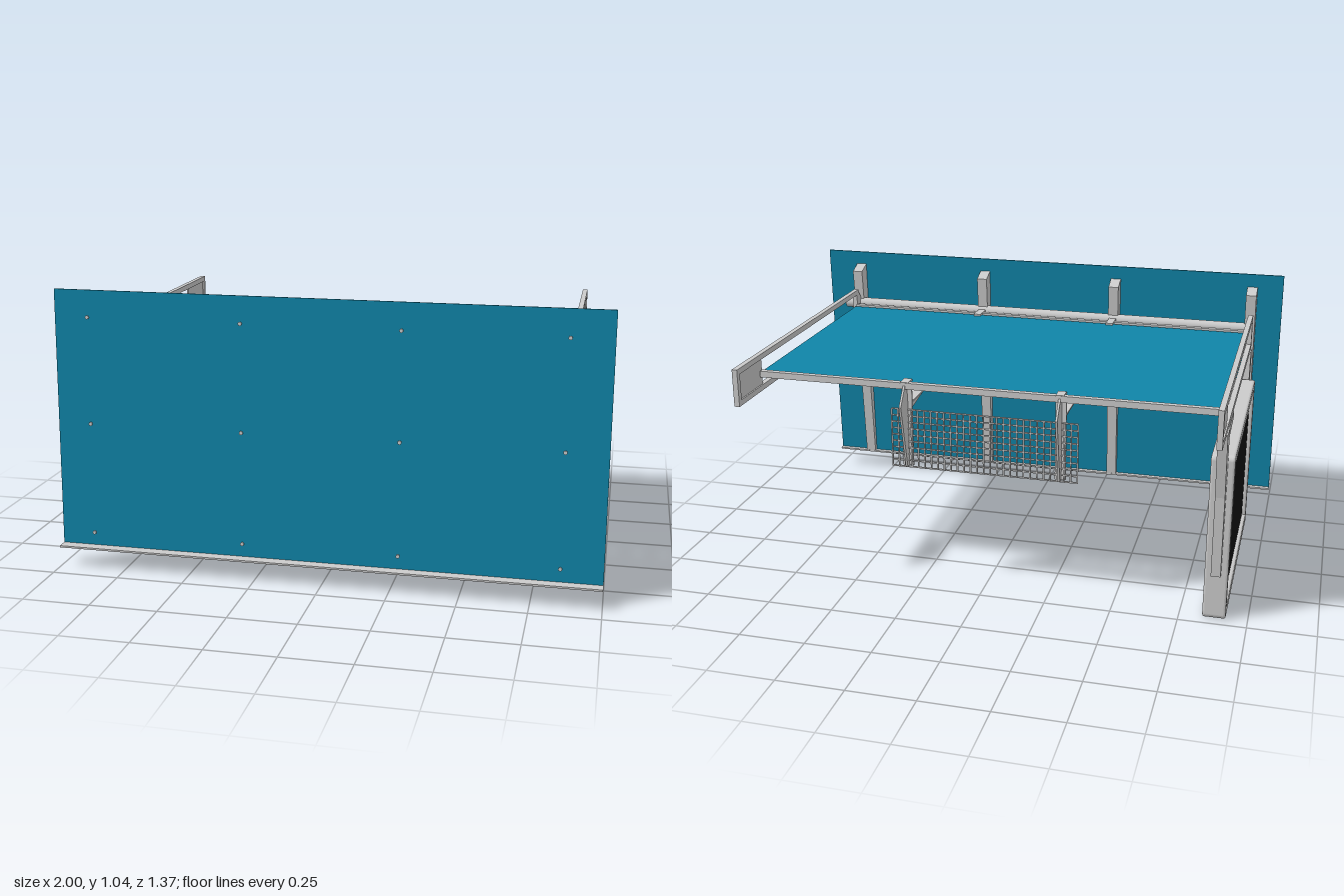
import * as THREE from 'three';

const grey = new THREE.MeshStandardMaterial({ color: 0xcccccc });
const teal = new THREE.MeshStandardMaterial({ color: 0x1085a8 });
const black = new THREE.MeshStandardMaterial({ color: 0x111111 });

const supportX = [-0.875, -0.3, 0.277, 0.85];
const sideX = [-0.88, 0.85];

function add(parent, name, geometry, material = grey) {
  const mesh = new THREE.Mesh(geometry, material);
  mesh.name = name;
  parent.add(mesh);
  return mesh;
}

// Box given by its limits on each axis
function box(parent, name, [x0, x1], [y0, y1], [z0, z1], material) {
  const mesh = add(parent, name, new THREE.BoxGeometry(x1 - x0, y1 - y0, z1 - z0), material);
  mesh.position.set((x0 + x1) / 2, (y0 + y1) / 2, (z0 + z1) / 2);
  return mesh;
}

// Plate with a (z, y) outline, centred on x
function plate(parent, name, outline, x, width, holes = []) {
  const toPoints = (list) => list.map(([z, y]) => new THREE.Vector2(z, y));
  const shape = new THREE.Shape(toPoints(outline));
  for (const hole of holes) shape.holes.push(new THREE.Path(toPoints(hole)));
  const geometry = new THREE.ExtrudeGeometry(shape, { depth: width, bevelEnabled: false });
  geometry.translate(0, 0, -width / 2).rotateY(-Math.PI / 2);
  const mesh = add(parent, name, geometry);
  mesh.position.x = x;
  return mesh;
}

const rect = (z0, z1, y0, y1) => [[z0, y0], [z1, y0], [z1, y1], [z0, y1]];

// Leaning front board with bolt heads, bottom ledge and tapered struts
function frontBoard() {
  const group = new THREE.Group();
  group.name = 'frontBoard';
  const leaning = new THREE.Group();
  leaning.name = 'leaningPanel';
  leaning.position.set(0, 0.558, 0.621);
  leaning.rotation.x = -0.045;
  group.add(leaning);
  add(leaning, 'frontPanel', new THREE.BoxGeometry(2, 0.963, 0.006), teal);
  for (const x of supportX) {
    for (const y of [0.382, -0.013, -0.43]) {
      const bolt = add(leaning, 'bolt', new THREE.CylinderGeometry(0.007, 0.007, 0.012, 12));
      bolt.rotation.x = Math.PI / 2;
      bolt.position.set(x, y, 0.002);
    }
    plate(group, 'strut', [[0.641, 0.08], [0.6, 0.985], [0.541, 0.962], [0.621, 0.08]], x, 0.042);
  }
  box(group, 'bottomLedge', [-1, 1], [0.074, 0.081], [0.62, 0.685]);
  return group;
}

// Rectangular side frame with rear infill plate and a nose holding the tube
function sideFrame(x) {
  const group = new THREE.Group();
  group.name = 'sideFrame';
  plate(group, 'frameBars', rect(-0.687, 0.518, 0.746, 0.886), x, 0.02, [rect(-0.666, 0.498, 0.767, 0.865)]);
  plate(group, 'rearInfill', rect(-0.67, -0.475, 0.76, 0.87), x, 0.008);
  plate(group, 'tubeBracket', [[0.518, 0.75], [0.56, 0.8], [0.56, 0.832], [0.518, 0.882]], x, 0.016);
  return group;
}

// Horizontal panel, its end rails and the clips
function roof() {
  const group = new THREE.Group();
  group.name = 'roof';
  box(group, 'roofPanel', [-0.87, 0.842], [0.812, 0.818], [-0.482, 0.482], teal);
  for (const z of [-0.49, 0.502]) {
    box(group, 'endRail', [-0.872, 0.842], [0.8, 0.824], [z - 0.011, z + 0.011]);
  }
  for (const x of supportX.slice(1, 3)) {
    box(group, 'rearClip', [x - 0.015, x + 0.015], [0.806, 0.826], [-0.5, -0.45]);
    box(group, 'frontClip', [x - 0.015, x + 0.015], [0.806, 0.826], [0.462, 0.545]);
  }
  return group;
}

// Wire mesh hung from two gusseted brackets
function meshTray() {
  const group = new THREE.Group();
  group.name = 'meshTray';
  for (const x of supportX.slice(1, 3)) {
    plate(group, 'meshBracket', [[-0.292, 0.746], [-0.292, 0.726], [-0.468, 0.7], [-0.468, 0.495],
      [-0.495, 0.495], [-0.553, 0.746], [-0.5, 0.815], [-0.478, 0.815], [-0.478, 0.746]], x, 0.008);
    box(group, 'bracketFlange', [x - 0.02, x + 0.02], [0.495, 0.8], [-0.474, -0.468]);
    box(group, 'armFlange', [x - 0.02, x + 0.02], [0.742, 0.748], [-0.47, -0.292]);
  }
  const columns = 28, rows = 9, x0 = -0.365, x1 = 0.335, y0 = 0.49, y1 = 0.715;
  for (let i = 0; i <= columns; i++) {
    const x = x0 + (x1 - x0) * i / columns;
    box(group, 'uprightWire', [x - 0.0025, x + 0.0025], [y0, y1], [-0.484, -0.479]);
  }
  for (let i = 0; i <= rows; i++) {
    const y = y0 + (y1 - y0) * i / rows;
    box(group, 'crossWire', [x0, x1], [y - 0.0025, y + 0.0025], [-0.48, -0.475]);
  }
  return group;
}

// Two-sided display with rounded casing, hung between two tapered posts
function display() {
  const group = new THREE.Group();
  group.name = 'display';
  const z0 = -0.458, z1 = 0.426, y0 = 0.008, y1 = 0.632, r = 0.012;
  const shape = new THREE.Shape();
  shape.moveTo(z0 + r, y0).lineTo(z1 - r, y0);
  shape.absarc(z1 - r, y0 + r, r, -Math.PI / 2, 0);
  shape.absarc(z1 - r, y1 - r, r, 0, Math.PI / 2);
  shape.absarc(z0 + r, y1 - r, r, Math.PI / 2, Math.PI);
  shape.absarc(z0 + r, y0 + r, r, Math.PI, Math.PI * 1.5);
  const opening = rect(-0.437, 0.405, 0.037, 0.609).map(([z, y]) => new THREE.Vector2(z, y));
  shape.holes.push(new THREE.Path(opening));
  const geometry = new THREE.ExtrudeGeometry(shape, {
    depth: 0.069, bevelSize: 0.008, bevelThickness: 0.008, bevelSegments: 3, curveSegments: 5,
  });
  geometry.translate(0, 0, -0.0345).rotateY(-Math.PI / 2);
  add(group, 'casing', geometry).position.x = -0.878;
  box(group, 'screen', [-0.905, -0.851], [0.036, 0.61], [-0.438, 0.406], black);

  plate(group, 'frontPost', [[0.44, 0.75], [0.425, 0.6], [0.44, 0.185], [0.46, 0.185], [0.483, 0.75]], -0.878, 0.035);
  plate(group, 'rearPost', [[-0.468, 0.75], [-0.468, 0.185], [-0.49, 0.185], [-0.507, 0.5], [-0.55, 0.75]], -0.878, 0.035);
  plate(group, 'postArm', [[-0.292, 0.75], [-0.292, 0.726], [-0.47, 0.7], [-0.47, 0.75]], -0.878, 0.03);
  return group;
}

export function createModel() {
  const model = new THREE.Group();
  model.name = 'canopyWithDisplay';
  model.add(frontBoard(), roof(), meshTray(), display());
  for (const x of sideX) model.add(sideFrame(x));

  // Round tube joining the frames to the board struts
  const tube = add(model, 'crossTube', new THREE.CylinderGeometry(0.023, 0.023, 1.79, 24));
  tube.rotation.z = Math.PI / 2;
  tube.position.set(0.015, 0.816, 0.562);
  return model;
}
